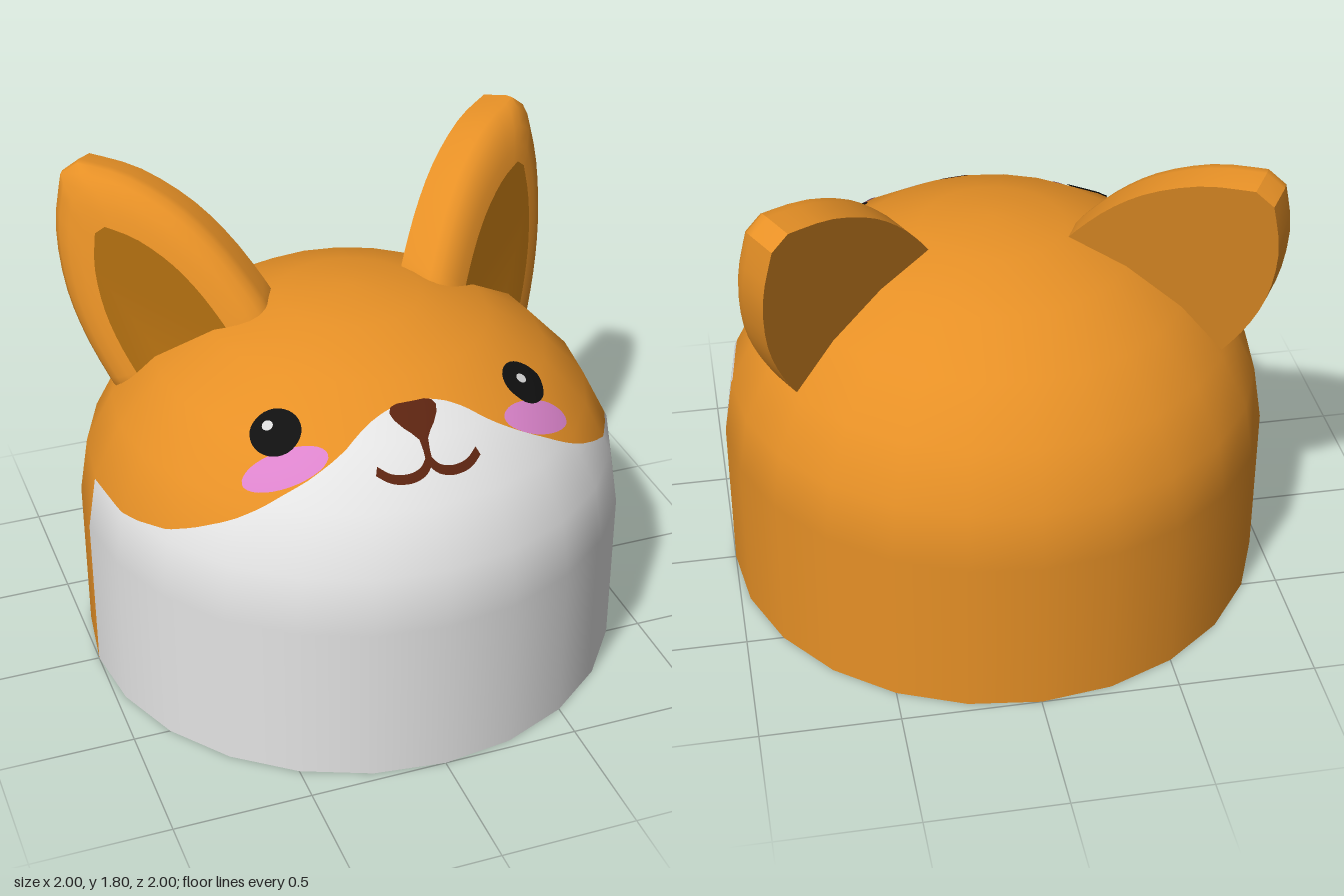
import * as THREE from 'three';
import { toCreasedNormals } from 'three/addons/utils/BufferGeometryUtils.js';

const V3 = (x, y, z) => new THREE.Vector3(x, y, z);
const material = (name, color) => {
  const m = new THREE.MeshStandardMaterial({ color, side: THREE.DoubleSide });
  m.name = name;
  return m;
};

// Dome: straight wall up to BASE, then a half ellipse of height RISE, 24-sided
const BASE = 0.6, RISE = 0.81, STEP = Math.PI / 12;
const profile = [[1, 0], [1, BASE]];
for (let i = 1; i <= 6; i++) profile.push([Math.cos(i * STEP), BASE + RISE * Math.sin(i * STEP)]);

// Radius of the 24-sided ring at an azimuth measured from the front
const ringRadius = (a) => {
  const d = a - Math.floor(a / STEP) * STEP - STEP / 2;
  return Math.cos(STEP / 2) / Math.cos(d);
};
const domePoint = (a, t) => {
  const i = Math.min(Math.floor(t), profile.length - 2), f = t - i;
  const r = THREE.MathUtils.lerp(profile[i][0], profile[i + 1][0], f) * ringRadius(a);
  return V3(r * Math.sin(a), THREE.MathUtils.lerp(profile[i][1], profile[i + 1][1], f), r * Math.cos(a));
};
const domeNormal = (p) => V3(p.x, Math.max(0, p.y - BASE) / (RISE * RISE), p.z).normalize();

// 1 on the faceted dome, below 1 inside it
const gauge = (p) => {
  const h = Math.hypot(p.x, p.z) / ringRadius(Math.atan2(p.x, p.z)), y = p.y - BASE;
  let g = h;
  for (let i = 1; i < profile.length - 1; i++) {
    const [r0, q0] = profile[i], [r1, q1] = profile[i + 1];
    const dr = r1 - r0, dy = q1 - q0;
    g = Math.max(g, (h * dy - y * dr) / (r0 * dy - (q0 - BASE) * dr));
  }
  return g;
};
const onDome = (p, lift) => {
  const k = (1 + lift) / gauge(p);
  return V3(p.x * k, BASE + (p.y - BASE) * k, p.z * k);
};
const frontPoint = (x, y) =>
  V3(x, y, Math.sqrt(Math.max(0, 1 - x * x - ((y - BASE) / RISE) ** 2)));

// Grid surface with smooth dome normals
function gridGeometry(nu, nv, fn) {
  const pos = [], nor = [], idx = [];
  for (let j = 0; j <= nv; j++) {
    for (let i = 0; i <= nu; i++) {
      const p = fn(i / nu, j / nv);
      pos.push(...p.toArray());
      nor.push(...domeNormal(p).toArray());
      if (i < nu && j < nv) {
        const a = j * (nu + 1) + i, b = a + nu + 1;
        idx.push(a, a + 1, b + 1, a, b + 1, b);
      }
    }
  }
  const g = new THREE.BufferGeometry();
  g.setAttribute('position', new THREE.Float32BufferAttribute(pos, 3));
  g.setAttribute('normal', new THREE.Float32BufferAttribute(nor, 3));
  g.setIndex(idx);
  return g;
}

// Height of the white face patch by azimuth in degrees
const edge = [[0, 1.25], [6, 1.25], [10, 1.243], [14, 1.232], [18, 1.21], [24, 1.155], [30, 1.105],
  [36, 1.055], [42, 1.0], [48, 0.95], [55, 0.9], [62, 0.86], [70, 0.833], [78, 0.822], [91, 0.82]];
function edgeRow(a) {
  const d = Math.abs(a) * 180 / Math.PI;
  let i = 0;
  while (i < edge.length - 2 && edge[i + 1][0] < d) i++;
  let y = THREE.MathUtils.mapLinear(d, edge[i][0], edge[i + 1][0], edge[i][1], edge[i + 1][1]);
  if (a < 0) y -= 0.02 * Math.min(1, d / 20);
  let k = 1;
  while (profile[k + 1][1] < y) k++;
  return k + (y - profile[k][1]) / (profile[k + 1][1] - profile[k][1]);
}

// Ear frame: origin on the back plane, u across, v to the tip, n to the front
const earO = V3(0.508, 1.2, -0.27);
const earN = V3(0.573, 0.215, 0.79).normalize();
const earU = V3(0.403, 0.764, -0.5).cross(earN).normalize();
const earV = earN.clone().cross(earU);
const earPoint = (u, v, d) =>
  earO.clone().addScaledVector(earU, u).addScaledVector(earV, v).addScaledVector(earN, d);
const EAR_BASE = -0.12;
const earSide = new THREE.SplineCurve([[0.335, EAR_BASE], [0.338, 0], [0.32, 0.2], [0.27, 0.39], [0.17, 0.58], [0.04, 0.72]]
  .map(([x, y]) => new THREE.Vector2(x, y))).getPoints(14);
const earOutline = [
  ...earSide.map((p) => [p.x, p.y]),
  ...earSide.map((p) => [-p.x, p.y]).reverse(),
  ...Array.from({ length: 9 }, (_, i) => [-0.335 + 0.067 * (i + 1), EAR_BASE]),
];
// depth, width scale, length scale
const earRings = [[0, 1, 1], [0.1, 1, 1], [0.13, 0.985, 0.99], [0.16, 0.93, 0.945], [0.183, 0.83, 0.87], [0.196, 0.7, 0.78], [0.2, 0.58, 0.7]];

function earGeometries(side) {
  const rings = earRings.map(([d, su, sv]) => earOutline.map(([u, v]) => {
    const x = u * su;
    let y = EAR_BASE + (v - EAR_BASE) * sv;
    // trim the base to just under the dome
    while (gauge(earPoint(x, y, d)) < 0.985) y += 0.005;
    return V3(x, y, d);
  }));
  const make = (tris) => {
    const pos = [];
    for (const t of tris) {
      for (const q of side > 0 ? t : [t[0], t[2], t[1]]) {
        const p = earPoint(q.x, q.y, q.z);
        pos.push(p.x * side, p.y, p.z);
      }
    }
    const g = new THREE.BufferGeometry();
    g.setAttribute('position', new THREE.Float32BufferAttribute(pos, 3));
    return toCreasedNormals(g, 0.7);
  };
  const cap = (ring) => THREE.ShapeUtils
    .triangulateShape(ring.map((p) => new THREE.Vector2(p.x, p.y)), [])
    .map((f) => f.map((i) => ring[i]));
  const shell = cap(rings[0]).map(([a, b, c]) => [a, c, b]);
  for (let r = 0; r < rings.length - 1; r++) {
    earOutline.forEach((_, i) => {
      const j = (i + 1) % earOutline.length, lo = rings[r], hi = rings[r + 1];
      shell.push([lo[i], lo[j], hi[j]], [lo[i], hi[j], hi[i]]);
    });
  }
  return [make(shell), make(cap(rings[rings.length - 1]))];
}

export function createModel() {
  const model = new THREE.Group();
  model.name = 'animalHat';
  const orange = material('orangeFur', 0xe69026), white = material('whiteFur', 0xe4e4e4);
  const brown = material('innerEarBrown', 0xa8680f), pink = material('cheekPink', 0xdc84cc);
  const black = material('eyeBlack', 0x101010), dark = material('noseBrown', 0x5c2410);
  const shine = material('eyeShine', 0xd8d8d8);
  const add = (name, geometry, mat) => {
    const m = new THREE.Mesh(geometry, mat);
    m.name = name;
    model.add(m);
  };

  // Dome: plain back half, front half split along the face patch
  const rows = profile.length - 1, front = (u) => (u - 0.5) * Math.PI;
  add('domeBack', gridGeometry(12, rows, (u, v) => domePoint(Math.PI * (0.5 + u), v * rows)), orange);
  add('facePatch', gridGeometry(96, rows, (u, v) =>
    domePoint(front(u), Math.min(v * rows, edgeRow(front(u))))), white);
  add('domeFront', gridGeometry(96, rows, (u, v) =>
    domePoint(front(u), Math.max(v * rows, edgeRow(front(u))))), orange);

  // Painted details, outside and inside the thin dome
  const decal = (name, mat, nu, nv, lift, fn) => {
    for (const [s, where] of [[1, 'Outside'], [-1, 'Inside']]) {
      add(name + where, gridGeometry(nu, nv, (u, v) => onDome(fn(u, v), s * lift)), mat);
    }
  };
  const ellipse = (name, mat, x, y, rx, ry, turn, lift) => {
    const c = onDome(frontPoint(x, y), 0), n = domeNormal(c);
    const e = V3(0, 1, 0).cross(n).normalize(), up = n.clone().cross(e);
    decal(name, mat, 32, 5, lift, (u, v) => {
      const a = -u * Math.PI * 2, px = Math.cos(a) * rx * v, py = Math.sin(a) * ry * v;
      return c.clone()
        .addScaledVector(e, px * Math.cos(turn) - py * Math.sin(turn))
        .addScaledVector(up, px * Math.sin(turn) + py * Math.cos(turn));
    });
  };
  const SHIFT = 0.01;
  const mouthHalf = [[0, 1.125], [0.03, 1.1], [0.08, 1.088], [0.14, 1.093], [0.185, 1.115]];
  for (const side of [1, -1]) {
    const tag = side > 0 ? 'left' : 'right';
    ellipse(tag + 'Cheek', pink, SHIFT + side * 0.47, 1.11, 0.155, 0.065, -0.5 * side, 0.004);
    ellipse(tag + 'Eye', black, SHIFT + side * 0.462, 1.19, 0.09, 0.088, 0, 0.006);
    ellipse(tag + 'EyeShine', shine, side * 0.465 - 0.003, 1.2, 0.019, 0.019, 0, 0.008);

    // Mouth stroke
    const pts = mouthHalf.map(([x, y]) => new THREE.Vector2(SHIFT + x * side, y));
    const curve = new THREE.SplineCurve(side > 0 ? pts : pts.reverse());
    decal(tag + 'Mouth', dark, 20, 1, 0.005, (u, v) => {
      const p = curve.getPoint(u), t = curve.getTangent(u), w = (v - 0.5) * 0.025;
      return frontPoint(p.x - t.y * w, p.y + t.x * w);
    });

    // Ear
    const [shell, inner] = earGeometries(side);
    add(tag + 'Ear', shell, orange);
    add(tag + 'InnerEar', inner, brown);
  }

  // Nose with its stem: half width and height, bottom to top
  const nose = [[0.012, 1.11], [0.012, 1.15], [0.016, 1.175], [0.035, 1.192], [0.055, 1.205], [0.078, 1.225], [0.086, 1.24], [0.075, 1.252], [0.05, 1.257]];
  decal('nose', dark, 8, nose.length - 1, 0.006, (u, v) => {
    const [w, y] = nose[Math.round(v * (nose.length - 1))];
    return frontPoint(SHIFT + (u * 2 - 1) * w, y);
  });
  return model;
}
